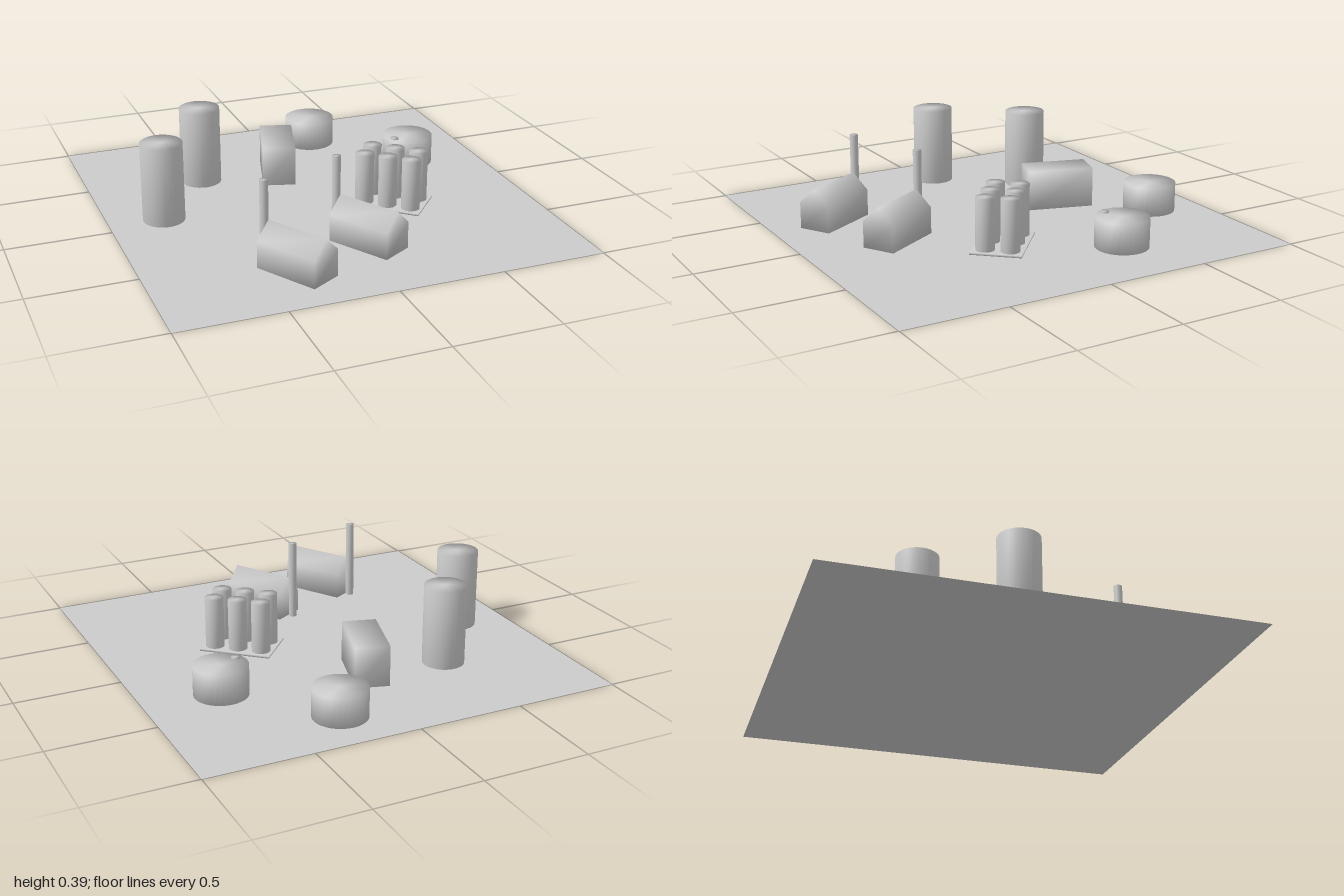
import * as THREE from 'three';
import { mergeVertices } from 'three/addons/utils/BufferGeometryUtils.js';

const grey = new THREE.MeshStandardMaterial({ color: 0xcccccc });
const groundGrey = new THREE.MeshStandardMaterial({ color: 0xcccccc, side: THREE.DoubleSide });
const LIFT = 0.001; // keeps undersides clear of the ground sheet

// Share corner vertices so the shading rolls over every edge
function soften(geo) {
  geo.deleteAttribute('normal');
  geo.deleteAttribute('uv');
  const merged = mergeVertices(geo, 1e-4);
  merged.computeVertexNormals();
  return merged;
}

function add(parent, name, geo, x = 0, y = 0, z = 0) {
  const mesh = new THREE.Mesh(geo, grey);
  mesh.name = name;
  mesh.position.set(x, y, z);
  parent.add(mesh);
  return mesh;
}

// Upright cylinder standing between two heights
function column(parent, name, x, z, radius, top, bottom = LIFT) {
  const geo = soften(new THREE.CylinderGeometry(radius, radius, top - bottom, 32));
  return add(parent, name, geo, x, (top + bottom) / 2, z);
}

function cluster(parent, name, x, z, turn) {
  const group = new THREE.Group();
  group.name = name;
  group.position.set(x, 0, z);
  group.rotation.y = turn;
  parent.add(group);
  return group;
}

// Gabled hall with a chimney against its rear wall
function warehouse(parent, x, z) {
  const group = cluster(parent, 'warehouse', x, z, 0.53);
  const w = 0.081, length = 0.322;
  const gable = new THREE.Shape([
    [-w, LIFT], [w, LIFT], [w, 0.13], [0, 0.205], [-w, 0.13],
  ].map(([px, py]) => new THREE.Vector2(px, py)));
  const hall = new THREE.ExtrudeGeometry(gable, { depth: length, bevelEnabled: false });
  add(group, 'hall', soften(hall), 0, 0, -length / 2);
  column(group, 'chimney', -0.005, -length / 2 - 0.021, 0.02, 0.39);
}

export function createModel() {
  const model = new THREE.Group();
  model.name = 'industrialYard';

  // Ground sheet
  const ground = add(model, 'ground', new THREE.PlaneGeometry(2, 2));
  ground.rotation.x = -Math.PI / 2;
  ground.material = groundGrey;

  // Tall silos
  for (const [x, z] of [[-0.44, -0.443], [-0.738, -0.06]]) column(model, 'silo', x, z, 0.1, 0.388);

  // Wide low tanks, one with a small stub on its lid
  column(model, 'tank', 0.255, -0.743, 0.127, 0.142);
  column(model, 'tank', 0.635, -0.313, 0.127, 0.145);
  column(model, 'tankStub', 0.546, -0.275, 0.021, 0.15, 0.05);

  // Plain block building
  const block = cluster(model, 'blockBuilding', -0.05, -0.396, -0.283);
  add(block, 'block', soften(new THREE.BoxGeometry(0.162, 0.196, 0.323)), 0, 0.098 + LIFT, 0);

  // Battery of six tubes on a slab
  const battery = cluster(model, 'tubeBattery', 0.34, 0.145, -0.724);
  add(battery, 'slab', soften(new THREE.BoxGeometry(0.347, 0.01, 0.24)), 0, 0.007, 0);
  for (const x of [-0.116, 0, 0.116]) {
    for (const z of [-0.058, 0.058]) column(battery, 'tube', x, z, 0.045, 0.262, 0.01);
  }

  // Warehouses
  warehouse(model, -0.344, 0.681);
  warehouse(model, 0.053, 0.539);

  return model;
}
